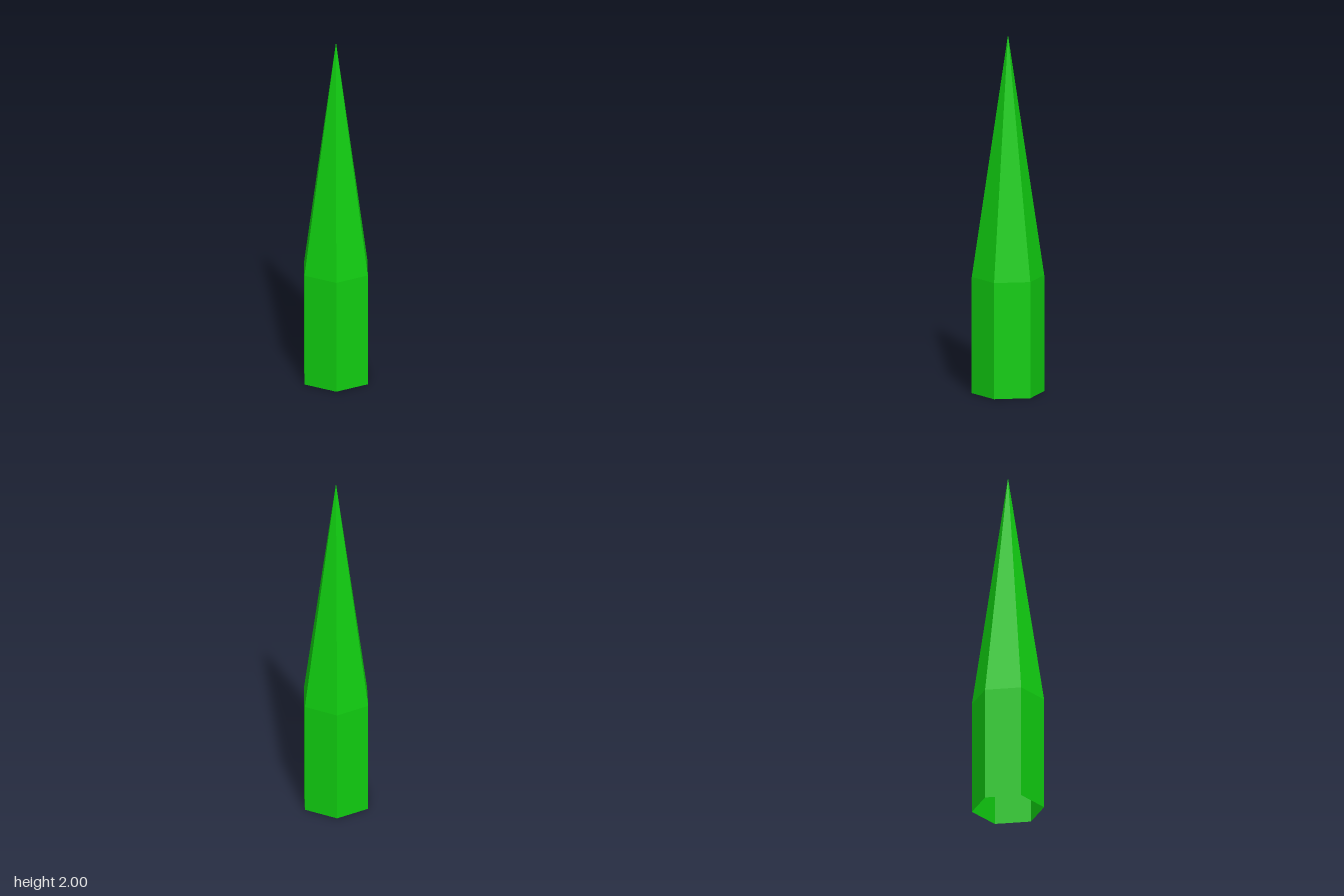
import * as THREE from 'three';

const RADIUS = 0.2;
const SHOULDER = 0.65; // where the shaft turns into the spike
const HEIGHT = 2;
const SIDES = 6;
const TURN = Math.PI / 6; // puts corners on the x axis, flats to front and back

export function createModel() {
  const group = new THREE.Group();
  group.name = 'spike';

  const material = new THREE.MeshStandardMaterial({
    color: 0x10cc10,
    flatShading: true,
    side: THREE.DoubleSide,
  });

  // Hexagonal section standing between two heights, open at both ends
  const addSection = (name, topRadius, y0, y1) => {
    const geometry = new THREE.CylinderGeometry(topRadius, RADIUS, y1 - y0, SIDES, 1, true, TURN);
    const mesh = new THREE.Mesh(geometry, material);
    mesh.name = name;
    mesh.position.y = (y0 + y1) / 2;
    group.add(mesh);
  };

  addSection('shaft', RADIUS, 0, SHOULDER); // hollow, open underneath
  addSection('point', 0, SHOULDER, HEIGHT); // long tapering tip

  return group;
}
